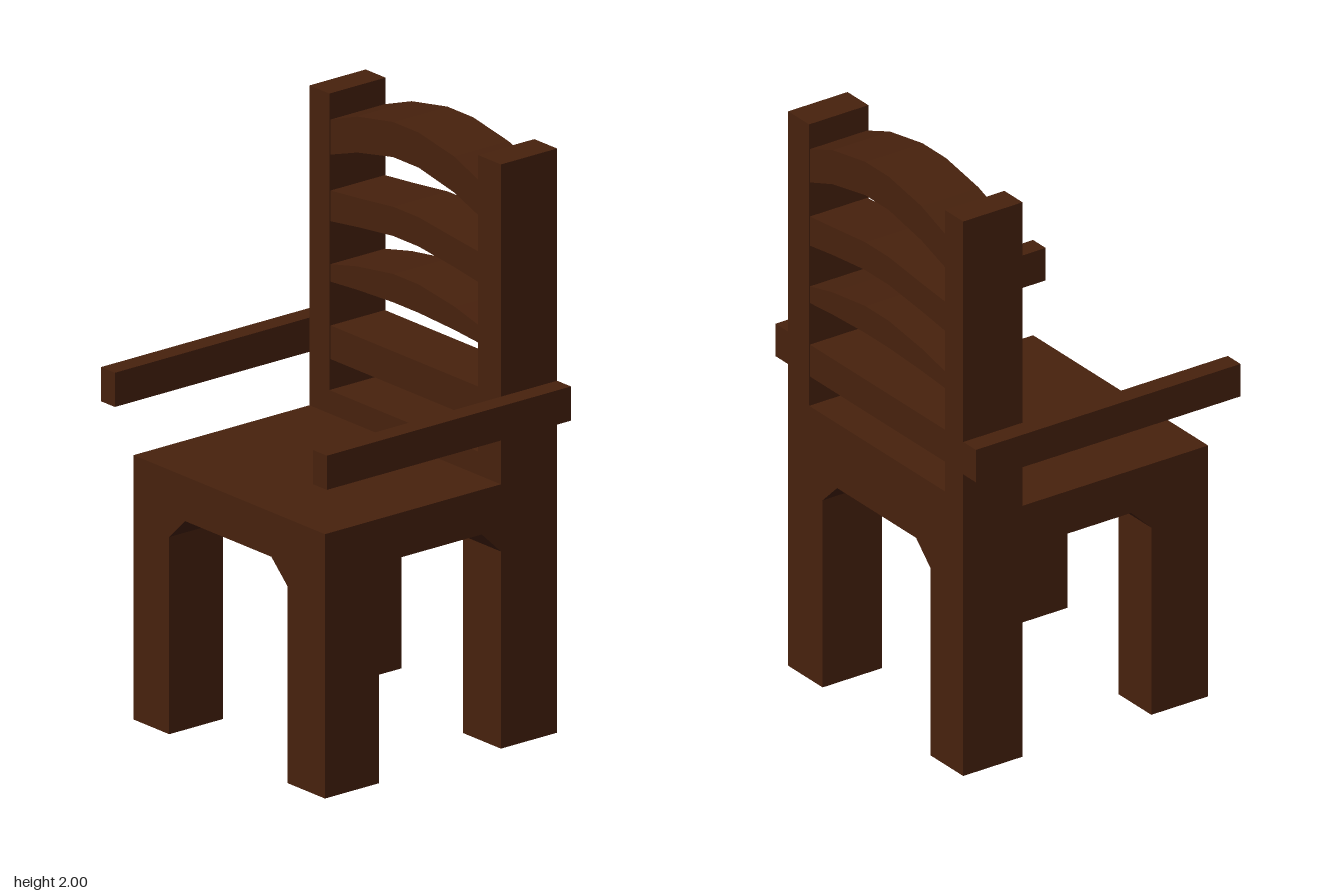
import * as THREE from 'three';

const wood = new THREE.MeshStandardMaterial({ color: 0x47210d });
wood.name = 'dark brown wood';

// Shared planes of the frame
const LEFT = 0.48, RIGHT = -0.485, FRONT = 0.445, BACK = -0.525, POST_FRONT = -0.29;
const INNER_LEFT = 0.365, INNER_RIGHT = -0.385;
const APRON_BOTTOM = 0.752, SEAT_TOP = 0.905, FLARE_START = 0.675, FLARE = 0.08;

function add(group, name, geometry) {
  const mesh = new THREE.Mesh(geometry, wood);
  mesh.name = name;
  group.add(mesh);
  return mesh;
}

// Box given by its two extreme values on each axis
function block(group, name, [x0, x1], [y0, y1], [z0, z1]) {
  const geometry = new THREE.BoxGeometry(x1 - x0, y1 - y0, z1 - z0);
  geometry.translate((x0 + x1) / 2, (y0 + y1) / 2, (z0 + z1) / 2);
  return add(group, name, geometry);
}

// Square leg whose two inner faces flare out below the seat
function leg(group, name, outerX, innerX, outerZ, innerZ) {
  let geometry = new THREE.BoxGeometry(1, 2, 1, 1, 2, 1);
  const p = geometry.attributes.position;
  const sx = Math.sign(outerX), sz = Math.sign(outerZ);
  for (let i = 0; i < p.count; i++) {
    const level = Math.round(p.getY(i)) + 1;
    const flare = level === 2 ? FLARE : 0;
    const x = p.getX(i) * sx > 0 ? outerX : innerX - sx * flare;
    const z = p.getZ(i) * sz > 0 ? outerZ : innerZ - sz * flare;
    p.setXYZ(i, x, [0, FLARE_START, APRON_BOTTOM][level], z);
  }
  geometry = geometry.toNonIndexed();
  geometry.computeVertexNormals();
  return add(group, name, geometry);
}

// Arched back slat; top and bottom heights run from the end to the middle
function slat(group, name, top, bottom) {
  const xs = [INNER_RIGHT, -0.25, -0.07, 0.06, 0.24, INNER_LEFT];
  const mirrored = (h) => [...h, ...[...h].reverse()];
  const upper = mirrored(top).map((y, i) => new THREE.Vector2(xs[i], y));
  const lower = mirrored(bottom).map((y, i) => new THREE.Vector2(xs[i], y));
  const shape = new THREE.Shape([...lower, ...upper.reverse()]);
  const geometry = new THREE.ExtrudeGeometry(shape, { depth: 0.227, bevelEnabled: false });
  geometry.translate(0, 0, -0.522);
  return add(group, name, geometry);
}

export function createModel() {
  const chair = new THREE.Group();
  chair.name = 'armchair';

  // Legs
  leg(chair, 'frontLeftLeg', LEFT, 0.29, FRONT, 0.22);
  leg(chair, 'frontRightLeg', RIGHT, -0.305, FRONT, 0.22);
  leg(chair, 'backLeftLeg', LEFT, 0.29, BACK, POST_FRONT);
  leg(chair, 'backRightLeg', RIGHT, -0.305, BACK, POST_FRONT);

  // Thick seat
  block(chair, 'seat', [RIGHT, LEFT], [APRON_BOTTOM, SEAT_TOP], [BACK, FRONT]);

  // Back posts and straight rails
  const depth = [BACK, POST_FRONT], span = [INNER_RIGHT, INNER_LEFT];
  block(chair, 'leftPost', [INNER_LEFT, LEFT], [SEAT_TOP, 2], depth);
  block(chair, 'rightPost', [RIGHT, INNER_RIGHT], [SEAT_TOP, 2], depth);
  block(chair, 'bottomRail', span, [SEAT_TOP, 0.985], depth);
  block(chair, 'lowerRail', span, [1.09, 1.205], [-0.522, -0.295]);

  // Arched slats
  slat(chair, 'lowerSlat', [1.415, 1.445, 1.47], [1.355, 1.365, 1.373]);
  slat(chair, 'middleSlat', [1.667, 1.68, 1.7], [1.562, 1.58, 1.6]);
  slat(chair, 'topSlat', [1.91, 1.958, 1.99], [1.79, 1.835, 1.87]);

  // Armrests, the right one slightly longer
  block(chair, 'leftArmrest', [LEFT, 0.55], [1.088, 1.205], [BACK, 0.495]);
  block(chair, 'rightArmrest', [-0.555, RIGHT], [1.088, 1.205], [BACK, 0.523]);

  return chair;
}
